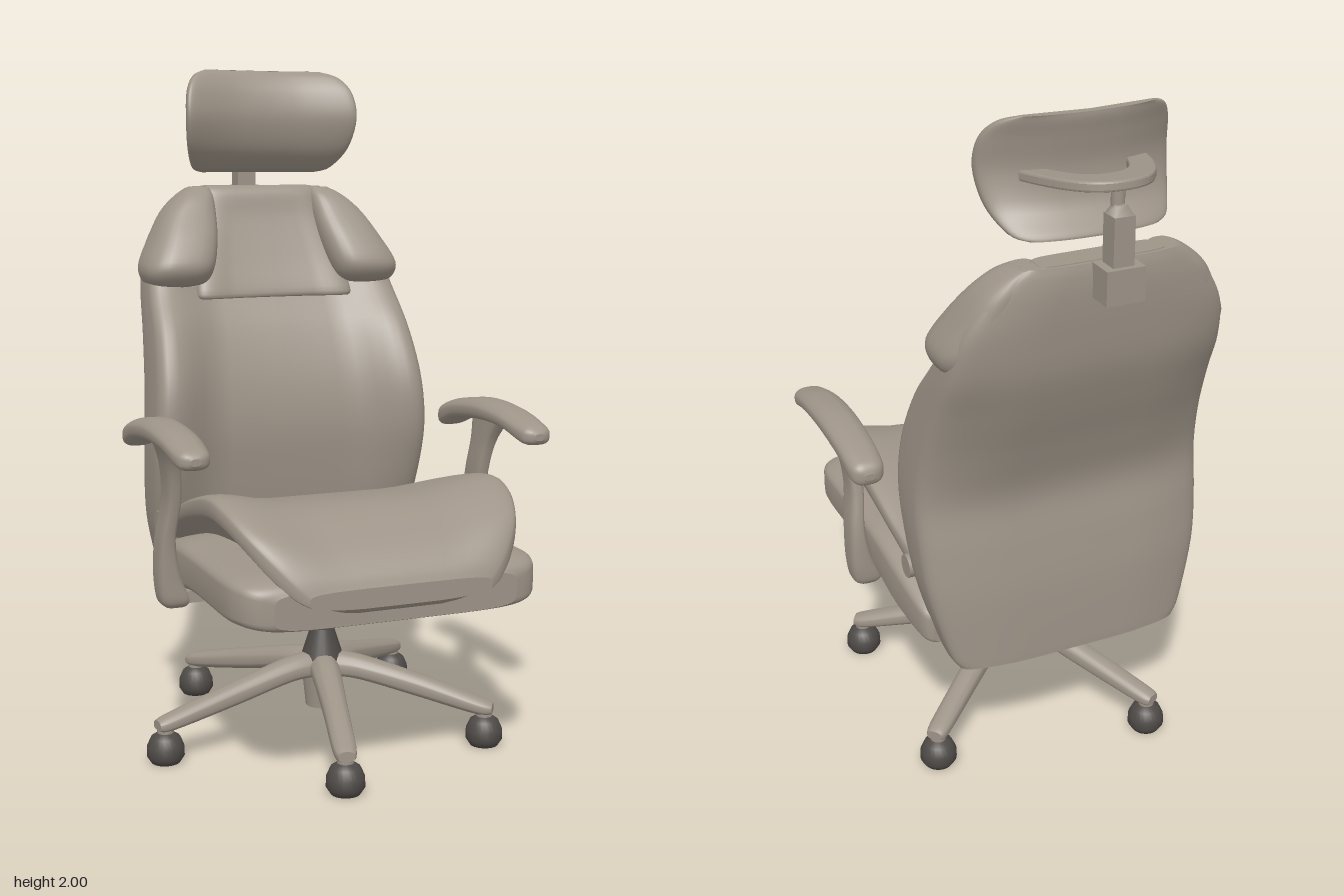
import * as THREE from 'three';

const fabric = new THREE.MeshStandardMaterial({ color: 0x9e9488 });
fabric.name = 'taupe';
const dark = new THREE.MeshStandardMaterial({ color: 0x4e4a47 });
dark.name = 'dark grey';

// Catmull-Rom refinement of cross-section rows
function refine(rows, n) {
  const out = [];
  const last = rows.length - 1;
  for (let i = 0; i < last; i++) {
    const a = rows[Math.max(i - 1, 0)], b = rows[i], c = rows[i + 1], d = rows[Math.min(i + 2, last)];
    for (let k = 0; k < n; k++) {
      const t = k / n;
      out.push(b.map((v, j) => v + 0.5 * t * (c[j] - a[j]
        + t * (2 * a[j] - 5 * v + 4 * c[j] - d[j] + t * (3 * (v - c[j]) + d[j] - a[j])))));
    }
  }
  out.push(rows[last]);
  return out;
}

const smooth = (k) => k * k * (3 - 2 * k);
const parabola = (k) => k * k;

// Lofted pad. Row: [position, half width, front centre, front side, back centre, back side, centre x].
// Along 'y' the front/back values are z; along 'z' they are y (top/bottom).
function pad(rows, { axis = 'y', e = 0.6, flat = 0.3, ease = smooth, sides = 48, n = 5, xc = 0 } = {}) {
  const full = rows.map((r) => [...r.slice(0, 6), r[6] ?? xc]);
  const rings = refine(full, n).map(([p, w, fc, fs, bc, bs, cx]) => {
    const ring = [];
    for (let j = 0; j < sides; j++) {
      const t = (j / sides) * Math.PI * 2, c = Math.cos(t), s = Math.sin(t);
      const u = Math.sign(c) * Math.abs(c) ** e;
      const k = ease(Math.max(0, (Math.abs(u) - flat) / (1 - flat)));
      const f = fc + (fs - fc) * k, b = bc + (bs - bc) * k;
      const v = (f + b) / 2 + Math.sign(s) * Math.abs(s) ** e * (f - b) / 2;
      ring.push(axis === 'y' ? [cx + u * w, p, v] : [cx + u * w, v, p]);
    }
    return ring;
  });
  const pos = rings.flat(2), index = [];
  const tri = (a, b, c) => (axis === 'y' ? index.push(a, b, c) : index.push(a, c, b));
  for (let i = 0; i < rings.length - 1; i++) {
    for (let j = 0; j < sides; j++) {
      const a = i * sides + j, b = i * sides + (j + 1) % sides;
      tri(a, a + sides, b);
      tri(b, a + sides, b + sides);
    }
  }
  [rings[0], rings[rings.length - 1]].forEach((ring, end) => {
    const start = pos.length / 3;
    pos.push(...ring.flat());
    pos.push(...[0, 1, 2].map((q) => ring.reduce((sum, v) => sum + v[q], 0) / sides));
    for (let j = 0; j < sides; j++) {
      const a = start + j, b = start + (j + 1) % sides;
      if (end) tri(start + sides, b, a); else tri(start + sides, a, b);
    }
  });
  const g = new THREE.BufferGeometry();
  g.setAttribute('position', new THREE.Float32BufferAttribute(pos, 3));
  g.setIndex(index);
  g.computeVertexNormals();
  return g;
}

export function createModel() {
  const model = new THREE.Group();
  model.name = 'officeChair';
  const add = (name, geometry, x = 0, y = 0, z = 0, material = fabric, parent = model) => {
    const m = new THREE.Mesh(geometry, material);
    m.name = name;
    m.position.set(x, y, z);
    parent.add(m);
    return m;
  };
  const box = (w, h, d) => new THREE.BoxGeometry(w, h, d);
  const cyl = (a, b, h, s = 24) => new THREE.CylinderGeometry(a, b, h, s);

  // Backrest shell with forward side bolsters
  add('backrest', pad([
    [0.37, 0.35, -0.29, -0.28, -0.41, -0.40], [0.42, 0.38, -0.28, -0.26, -0.41, -0.395],
    [0.6, 0.43, -0.25, -0.19, -0.405, -0.385], [0.75, 0.447, -0.23, -0.13, -0.39, -0.37],
    [0.9, 0.45, -0.22, -0.09, -0.375, -0.355], [1.05, 0.44, -0.24, -0.095, -0.42, -0.39],
    [1.2, 0.425, -0.29, -0.165, -0.48, -0.45], [1.33, 0.41, -0.36, -0.28, -0.525, -0.505],
    [1.45, 0.385, -0.40, -0.36, -0.545, -0.53], [1.55, 0.328, -0.44, -0.41, -0.555, -0.54],
    [1.61, 0.268, -0.46, -0.44, -0.555, -0.545], [1.64, 0.22, -0.485, -0.48, -0.55, -0.545],
  ], { flat: 0.4, e: 0.45 }));

  // Raised upper panel and shoulder wings
  add('upperPanel', pad([
    [1.295, 0.24, -0.345, -0.32, -0.42, -0.42], [1.31, 0.26, -0.325, -0.295, -0.43, -0.43],
    [1.42, 0.24, -0.37, -0.35, -0.48, -0.48], [1.54, 0.205, -0.415, -0.405, -0.53, -0.53],
    [1.62, 0.19, -0.435, -0.435, -0.54, -0.54], [1.643, 0.18, -0.46, -0.46, -0.54, -0.54],
  ], { e: 0.35 }));
  for (const s of [1, -1]) {
    add(s > 0 ? 'leftWing' : 'rightWing', pad([
      [1.335, 0.27, 0.37, -0.32, -0.44], [1.35, 0.22, 0.41, -0.285, -0.47],
      [1.4, 0.195, 0.42, -0.262, -0.5], [1.48, 0.175, 0.38, -0.3, -0.525],
      [1.56, 0.165, 0.332, -0.36, -0.535], [1.61, 0.165, 0.28, -0.4, -0.535],
      [1.637, 0.17, 0.235, -0.44, -0.535],
    ].map(([y, a, b, f, k]) => [y, (b - a) / 2, f, f, k, k, s * (a + b) / 2]), { sides: 32, e: 0.7 }));
  }

  // Seat base and draped cushion
  add('seatBase', pad([
    [-0.29, 0.40, 0.52, 0.52, 0.41, 0.41], [-0.26, 0.43, 0.55, 0.55, 0.40, 0.41],
    [-0.1, 0.45, 0.61, 0.61, 0.42, 0.43], [0.05, 0.457, 0.64, 0.64, 0.465, 0.47],
    [0.2, 0.457, 0.64, 0.64, 0.49, 0.49], [0.46, 0.46, 0.64, 0.64, 0.49, 0.49],
    [0.55, 0.445, 0.635, 0.635, 0.49, 0.49], [0.595, 0.41, 0.62, 0.62, 0.49, 0.49],
    [0.612, 0.36, 0.60, 0.60, 0.495, 0.495],
  ], { axis: 'z', e: 0.35 }));
  add('seatCushion', pad([
    [-0.24, 0.36, 0.60, 0.62, 0.55, 0.56], [-0.2, 0.41, 0.65, 0.67, 0.54, 0.57],
    [-0.05, 0.43, 0.70, 0.72, 0.56, 0.64], [0.1, 0.44, 0.745, 0.775, 0.56, 0.69],
    [0.3, 0.447, 0.775, 0.825, 0.56, 0.73], [0.42, 0.437, 0.765, 0.81, 0.55, 0.72],
    [0.52, 0.405, 0.72, 0.76, 0.535, 0.67], [0.58, 0.36, 0.68, 0.705, 0.53, 0.61],
    [0.62, 0.31, 0.635, 0.645, 0.53, 0.565], [0.638, 0.27, 0.60, 0.60, 0.545, 0.55],
  ], { axis: 'z', flat: 0.4, e: 0.45 }));

  // Armrests: curved pad, swept post hooked under the seat, hinge knob
  for (const s of [1, -1]) {
    const arm = new THREE.Group();
    arm.name = s > 0 ? 'leftArmrest' : 'rightArmrest';
    model.add(arm);
    add('armPad', pad([
      [-0.128, 0.015, 0.93, 0.93, 0.91, 0.91], [-0.118, 0.038, 0.95, 0.95, 0.892, 0.892],
      [-0.09, 0.052, 0.966, 0.962, 0.893, 0.893], [0, 0.056, 0.99, 0.985, 0.925, 0.925],
      [0.15, 0.058, 1.008, 1.0, 0.943, 0.943], [0.3, 0.057, 0.998, 0.99, 0.94, 0.94],
      [0.41, 0.05, 0.972, 0.967, 0.912, 0.912], [0.44, 0.036, 0.958, 0.958, 0.913, 0.913],
      [0.451, 0.015, 0.945, 0.945, 0.925, 0.925],
    ], { axis: 'z', xc: s * 0.517, sides: 32, e: 0.7 }), 0, 0, 0, fabric, arm);
    add('armPost', pad([
      [0.448, 0.03, 0.115, 0.115, 0.06, 0.06, 0.47], [0.47, 0.045, 0.13, 0.13, 0.045, 0.045, 0.475],
      [0.54, 0.035, 0.135, 0.135, 0.04, 0.04, 0.493], [0.65, 0.024, 0.145, 0.145, 0.045, 0.045, 0.5],
      [0.77, 0.022, 0.17, 0.17, 0.07, 0.07, 0.488], [0.88, 0.024, 0.2, 0.2, 0.09, 0.09, 0.498],
      [0.96, 0.035, 0.25, 0.25, 0.08, 0.08, 0.515],
    ].map((r) => [...r.slice(0, 6), s * r[6]]), { sides: 24, e: 0.6 }), 0, 0, 0, fabric, arm);
    add('armMount', box(0.1, 0.035, 0.06), s * 0.41, 0.477, 0.088, fabric, arm);
    add('hinge', cyl(0.035, 0.035, 0.04), s * 0.42, 0.635, -0.18, fabric, arm).rotation.z = Math.PI / 2;
  }

  // Headrest cushion, wrapped around the head
  add('headrest', pad([
    [1.685, 0.19, -0.465, -0.43, -0.49, -0.47], [1.70, 0.23, -0.43, -0.38, -0.485, -0.45],
    [1.76, 0.265, -0.38, -0.315, -0.435, -0.385], [1.85, 0.28, -0.357, -0.278, -0.42, -0.35],
    [1.93, 0.272, -0.37, -0.295, -0.43, -0.365], [1.98, 0.24, -0.40, -0.34, -0.44, -0.395],
    [2.0, 0.19, -0.425, -0.39, -0.44, -0.42],
  ], { flat: 0, ease: parabola, xc: -0.01 }));

  // Open arched headrest bracket and its stem
  const bracket = new THREE.Shape();
  bracket.moveTo(-0.18, 0.39);
  bracket.bezierCurveTo(-0.125, 0.595, -0.06, 0.615, 0, 0.615);
  bracket.bezierCurveTo(0.06, 0.615, 0.125, 0.595, 0.18, 0.39);
  bracket.lineTo(0.125, 0.39);
  bracket.bezierCurveTo(0.09, 0.51, 0.05, 0.535, 0, 0.535);
  bracket.bezierCurveTo(-0.05, 0.535, -0.09, 0.51, -0.125, 0.39);
  const bracketGeo = new THREE.ExtrudeGeometry(bracket, {
    depth: 0.016, bevelEnabled: true, bevelSize: 0.006, bevelThickness: 0.006, bevelSegments: 2, curveSegments: 16,
  });
  bracketGeo.rotateX(-Math.PI / 2);
  add('headrestBracket', bracketGeo, -0.01, 1.8, 0).rotation.x = 0.08;
  add('headrestRod', cyl(0.018, 0.018, 0.1), -0.01, 1.81, -0.575);
  add('headrestNeck', cyl(0.02, 0.042, 0.03, 4).rotateY(Math.PI / 4), -0.01, 1.785, -0.587);
  add('headrestStem', box(0.06, 0.15, 0.06), -0.01, 1.7, -0.587);
  add('headrestClamp', box(0.11, 0.095, 0.085), -0.01, 1.595, -0.59);

  // Tilt mechanism and gas column
  add('mechanism', pad([
    [0.39, 0.14, 0.21, 0.21, -0.1, -0.1], [0.42, 0.155, 0.235, 0.235, -0.11, -0.11],
    [0.49, 0.165, 0.26, 0.26, -0.12, -0.12],
  ], { e: 0.2 }));
  add('mechanismArm', box(0.2, 0.04, 0.25), 0, 0.41, -0.2);
  add('column', cyl(0.034, 0.034, 0.16), 0, 0.37, 0.065, dark);
  add('columnCollar', cyl(0.036, 0.068, 0.1), 0, 0.275, 0.065, dark);
  add('hub', cyl(0.066, 0.05, 0.15), 0, 0.16, 0.065);

  // Five-legged base with domed casters
  const casterGeo = new THREE.LatheGeometry([[0, 0], [0.042, 0.002], [0.055, 0.022], [0.054, 0.05],
    [0.042, 0.077], [0.022, 0.091], [0, 0.094]].map(([x, y]) => new THREE.Vector2(x, y)), 24);
  [[-0.13, 0.55], [0.4, 0.36], [0.4, -0.3], [-0.25, -0.41], [-0.52, 0.14]].forEach(([x, z], i) => {
    const leg = new THREE.Group();
    leg.name = `baseLeg${i + 1}`;
    leg.position.z = 0.065;
    leg.rotation.y = Math.atan2(x, z - 0.065);
    model.add(leg);
    const r = Math.hypot(x, z - 0.065);
    add('legBeam', pad([
      [0.03, 0.046, 0.255, 0.235, 0.18, 0.18], [0.12, 0.042, 0.245, 0.23, 0.175, 0.18],
      [0.3, 0.036, 0.2, 0.19, 0.135, 0.14], [r - 0.02, 0.033, 0.145, 0.138, 0.095, 0.1],
      [r + 0.025, 0.024, 0.128, 0.125, 0.1, 0.1],
    ], { axis: 'z', sides: 24 }), 0, 0, 0, fabric, leg);
    add('casterStem', cyl(0.024, 0.024, 0.04, 16), 0, 0.1, r, fabric, leg);
    add('caster', casterGeo, 0, 0, r, dark, leg);
  });
  return model;
}
